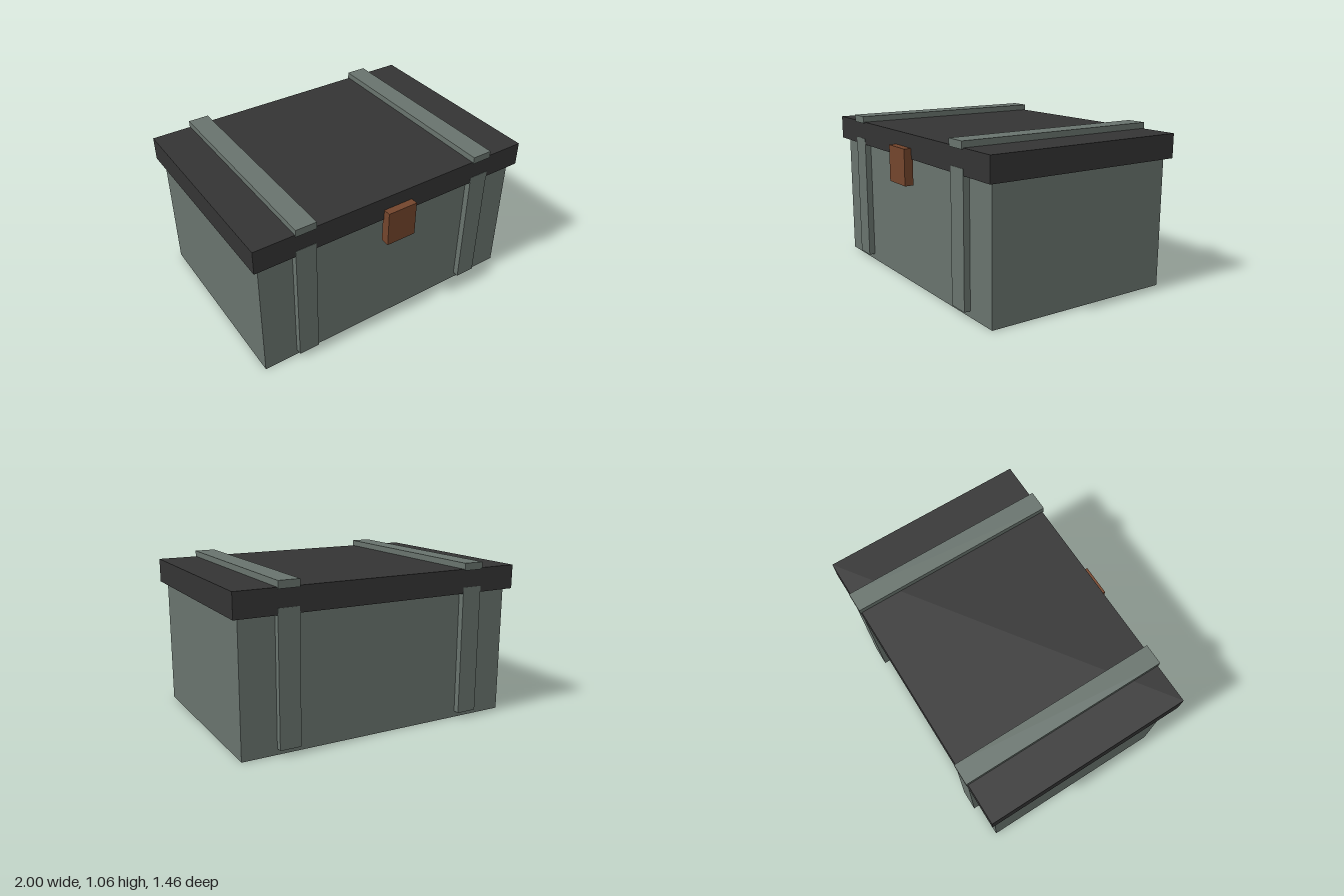
import * as THREE from 'three';

const material = (name, color) => {
  const m = new THREE.MeshStandardMaterial({ color });
  m.name = name;
  return m;
};

export function createModel() {
  const group = new THREE.Group();
  group.name = 'storageChest';

  const greyGreen = material('greyGreen', 0x68736d);
  const charcoal = material('charcoal', 0x343434);
  const brown = material('brown', 0x73452c);

  // Box spanning the given [min, max] ranges
  const addBox = (name, mat, [x0, x1], [y0, y1], [z0, z1]) => {
    const mesh = new THREE.Mesh(new THREE.BoxGeometry(x1 - x0, y1 - y0, z1 - z0), mat);
    mesh.position.set((x0 + x1) / 2, (y0 + y1) / 2, (z0 + z1) / 2);
    mesh.name = name;
    group.add(mesh);
  };

  // Body and overhanging lid
  addBox('body', greyGreen, [-0.96, 0.96], [0, 0.86], [-0.68, 0.64]);
  addBox('lid', charcoal, [-1, 1], [0.86, 1.02], [-0.72, 0.68]);

  // Straps over the lid and down the front and back
  for (const [side, x] of [['left', 0.66], ['right', -0.66]]) {
    const span = [x - 0.07, x + 0.07];
    addBox(side + 'TopStrap', greyGreen, span, [1.012, 1.06], [-0.73, 0.69]);
    addBox(side + 'FrontStrap', greyGreen, span, [0.04, 0.9], [0.63, 0.682]);
    addBox(side + 'BackStrap', greyGreen, span, [0.04, 0.9], [-0.722, -0.67]);
  }

  // Front latch
  addBox('latch', brown, [-0.105, 0.105], [0.69, 0.93], [0.67, 0.73]);

  return group;
}
